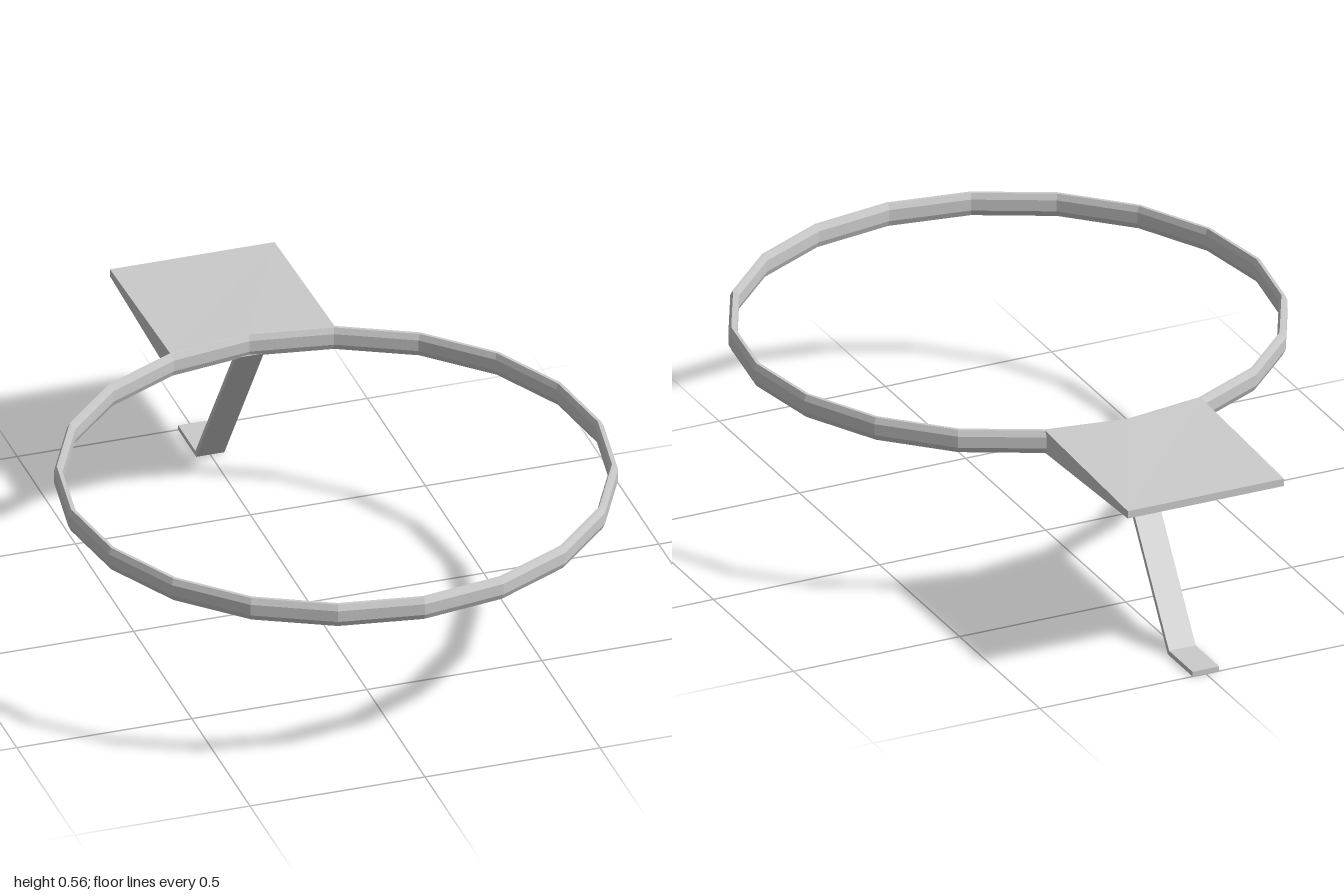
import * as THREE from 'three';

const RING_Z = 0.235; // centre of the hoop
const TOP = 0.557, BOTTOM = 0.49, MID = (TOP + BOTTOM) / 2;

function vectors(points) {
  return points.map(([x, y]) => new THREE.Vector2(x, y));
}

export function createModel() {
  const group = new THREE.Group();
  const material = new THREE.MeshStandardMaterial({ color: 0xcccccc, flatShading: true });
  const add = (name, geometry) => {
    const mesh = new THREE.Mesh(geometry, material);
    mesh.name = name;
    group.add(mesh);
    return mesh;
  };

  // Twenty-sided hoop with a slim bevelled section
  const section = vectors([
    [0.748, BOTTOM], [0.757, BOTTOM], [0.765, 0.507], [0.765, 0.54],
    [0.757, TOP], [0.748, TOP], [0.741, 0.54], [0.741, 0.507], [0.748, BOTTOM],
  ]);
  add('hoop', new THREE.LatheGeometry(section, 20)).position.z = RING_Z;

  // Rear plate: its front edge follows the hoop, and it thins toward the back
  const joint = [-1, 0, 1].map((i) => {
    const a = (i * Math.PI) / 10;
    return [0.76 * Math.sin(a), RING_Z - 0.755 * Math.cos(a)];
  });
  const outline = new THREE.Shape(vectors([[-0.235, -1], ...joint, [0.235, -1]]));
  const plate = new THREE.ExtrudeGeometry(outline, { depth: TOP - BOTTOM, bevelEnabled: false });
  plate.rotateX(Math.PI / 2).translate(0, TOP, 0);
  const pos = plate.attributes.position;
  for (let i = 0; i < pos.count; i++) {
    const t = THREE.MathUtils.clamp((-0.52 - pos.getZ(i)) / 0.48, 0, 1);
    const half = THREE.MathUtils.lerp((TOP - BOTTOM) / 2, 0.011, t);
    pos.setY(i, MID + 0.003 * t + Math.sign(pos.getY(i) - MID) * half);
  }
  plate.computeVertexNormals();
  add('rearPlate', plate);

  // Bent strip: sloping leg and flat foot, drawn in side profile
  const strip = new THREE.Shape(vectors([
    [0.505, 0.495], [0.521, 0.495], [0.853, 0.014], [1, 0.014], [1, 0], [0.845, 0],
  ]));
  const leg = new THREE.ExtrudeGeometry(strip, { depth: 0.08, bevelEnabled: false });
  leg.translate(0, 0, -0.04).rotateY(Math.PI / 2);
  add('legAndFoot', leg);

  return group;
}
